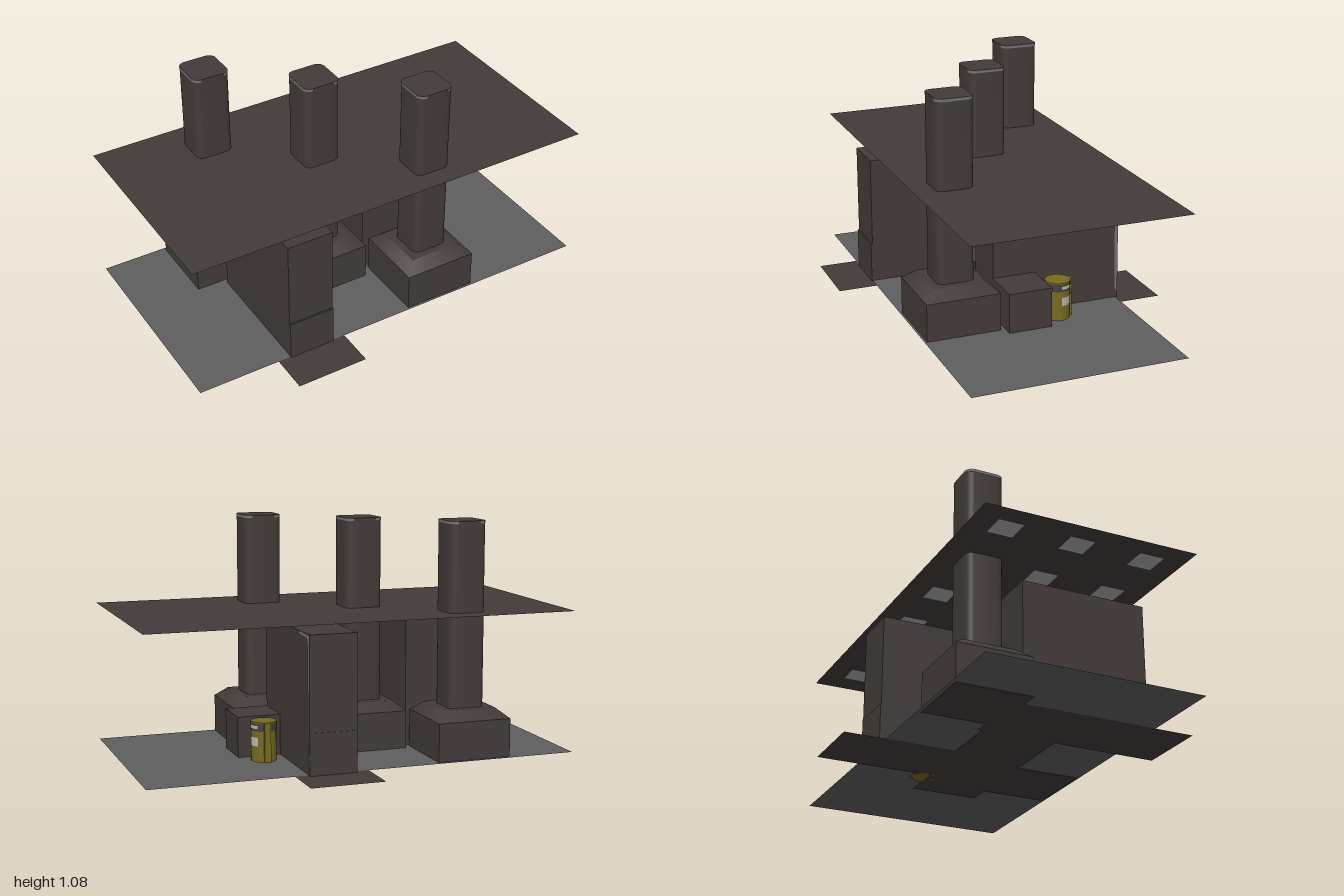
import * as THREE from 'three';
import { toCreasedNormals } from 'three/addons/utils/BufferGeometryUtils.js';

const mat = (name, color, side = THREE.FrontSide) => {
  const m = new THREE.MeshStandardMaterial({ color, side });
  m.name = name;
  return m;
};

export function createModel() {
  const model = new THREE.Group();
  const brown = mat('brown stone', 0x433b3a, THREE.DoubleSide);
  const floorGrey = mat('floor grey', 0x5e5e5e, THREE.DoubleSide);
  const wornGrey = mat('worn grey', 0x737373, THREE.DoubleSide);
  const lampGrey = mat('lamp grey', 0xaaaaaa, THREE.DoubleSide);
  const yellow = mat('barrel yellow', 0x756a20);
  const dark = mat('barrel band', 0x45413a);
  const white = mat('label white', 0xb5b5b0);

  const add = (name, geo, material, x = 0, y = 0, z = 0, parent = model) => {
    const mesh = new THREE.Mesh(geo, material);
    mesh.name = name;
    mesh.position.set(x, y, z);
    parent.add(mesh);
    return mesh;
  };
  // Box given by its limits on each axis
  const box = (name, x0, x1, y0, y1, z0, z1) =>
    add(name, new THREE.BoxGeometry(x1 - x0, y1 - y0, z1 - z0), brown,
      (x0 + x1) / 2, (y0 + y1) / 2, (z0 + z1) / 2);
  // Horizontal sheet
  const sheet = (name, x0, x1, z0, z1, y, material) =>
    add(name, new THREE.PlaneGeometry(x1 - x0, z1 - z0).rotateX(-Math.PI / 2), material,
      (x0 + x1) / 2, y, (z0 + z1) / 2);

  // Floor and ceiling sheets
  sheet('floor', -1, 1, -0.493, 0.507, 0.003, floorGrey);
  sheet('ceiling', -1, 1, -0.493, 0.507, 0.66, brown);

  // Foundation sheets under the walls
  sheet('frontFoundation', -0.61, -0.27, -0.18, 0.69, 0, brown);
  sheet('backFoundation', 0, 0.34, -0.69, 0.185, 0, brown);
  sheet('stubFoundation', 0.34, 0.54, -0.14, 0.185, 0, brown);

  // Walls with a slight plinth on their outer ends, and a low stub
  box('frontWall', -0.55, -0.33, 0, 0.61, -0.1, 0.503);
  box('frontWallPlinth', -0.55, -0.33, 0, 0.19, 0.5, 0.51);
  box('backWall', 0.06, 0.28, 0, 0.62, -0.499, 0.125);
  box('backWallPlinth', 0.06, 0.28, 0, 0.19, -0.502, -0.49);
  box('lowStub', 0.28, 0.48, 0, 0.19, -0.08, 0.125);

  // Worn strip along the top and back edge of the back wall
  const worn = new THREE.Shape();
  worn.moveTo(0.35, 0.62);
  worn.lineTo(0.36, 0.604);
  worn.lineTo(0.45, 0.602);
  worn.quadraticCurveTo(0.475, 0.6, 0.477, 0.56);
  worn.lineTo(0.488, 0.05);
  worn.lineTo(0.499, 0.03);
  worn.lineTo(0.499, 0.62);
  add('wornWallEdge', new THREE.ShapeGeometry(worn).rotateY(Math.PI / 2), wornGrey, 0.282);

  // One side of a rounded square section, with both of its corners
  const h = 0.0875, r = 0.035;
  const addSide = (shape, half, start) => {
    const s = start === 0 ? 1 : -1, c = half - r;
    shape.absarc(s * c, -s * c, r, start - Math.PI / 2, start);
    shape.absarc(s * c, s * c, r, start, start + Math.PI / 2);
    return shape;
  };
  const extrudeUp = (shape, depth) => toCreasedNormals(
    new THREE.ExtrudeGeometry(shape, { depth, bevelEnabled: false, curveSegments: 5 })
      .rotateX(-Math.PI / 2), 0.6);
  const section = addSide(addSide(new THREE.Shape(), h, 0), h, Math.PI);
  const shaftGeo = extrudeUp(section, 0.855);
  const wornGeos = [0, Math.PI].map(a => extrudeUp(addSide(new THREE.Shape(), h + 0.001, a), 0.012));
  const taperGeo = new THREE.CylinderGeometry(0.122 * Math.SQRT2, 0.175 * Math.SQRT2, 0.045, 4)
    .rotateY(Math.PI / 4);

  // Columns on tapered footings, with worn rims on both sides
  for (const [x, z] of [[-0.515, -0.3], [-0.135, 0.016], [0.257, 0.321]]) {
    const column = new THREE.Group();
    column.name = 'column';
    column.position.set(x, 0, z);
    model.add(column);
    add('footing', new THREE.BoxGeometry(0.35, 0.18, 0.35), brown, 0, 0.09, 0, column);
    add('footingTaper', taperGeo, brown, 0, 0.2025, 0, column);
    add('shaft', shaftGeo, brown, 0, 0.22, 0, column);
    for (const geo of wornGeos) add('wornRim', geo, wornGrey, 0, 1.062, 0, column);
  }

  // Ceiling lamps
  for (let i = 0; i < 6; i++) {
    for (const z of [-0.33, 0.005, 0.34]) {
      const x = -0.85 + i * 0.333;
      sheet('ceilingLamp', x - 0.06, x + 0.06, z - 0.06, z + 0.06, 0.656, lampGrey);
    }
  }

  // Barrel with a dark band, labels and a side seam
  const barrel = new THREE.Group();
  barrel.name = 'barrel';
  barrel.position.set(0.38, 0, -0.149);
  model.add(barrel);
  add('barrelBody', new THREE.CylinderGeometry(0.058, 0.058, 0.184, 20), yellow, 0, 0.092, 0, barrel);
  add('barrelBand', new THREE.CylinderGeometry(0.0595, 0.0595, 0.035, 20, 1, true), dark, 0, 0.161, 0, barrel);
  add('barrelSeam', new THREE.BoxGeometry(0.03, 0.184, 0.012), yellow, 0, 0.092, -0.06, barrel);
  const label = (name, radius, height, y) => add(name,
    new THREE.CylinderGeometry(radius, radius, height, 6, 1, true, Math.PI / 2 - 0.05, 0.88),
    white, 0, y, 0, barrel);
  label('barrelLabel', 0.06, 0.04, 0.095);
  label('bandLabel', 0.061, 0.014, 0.162);

  return model;
}
